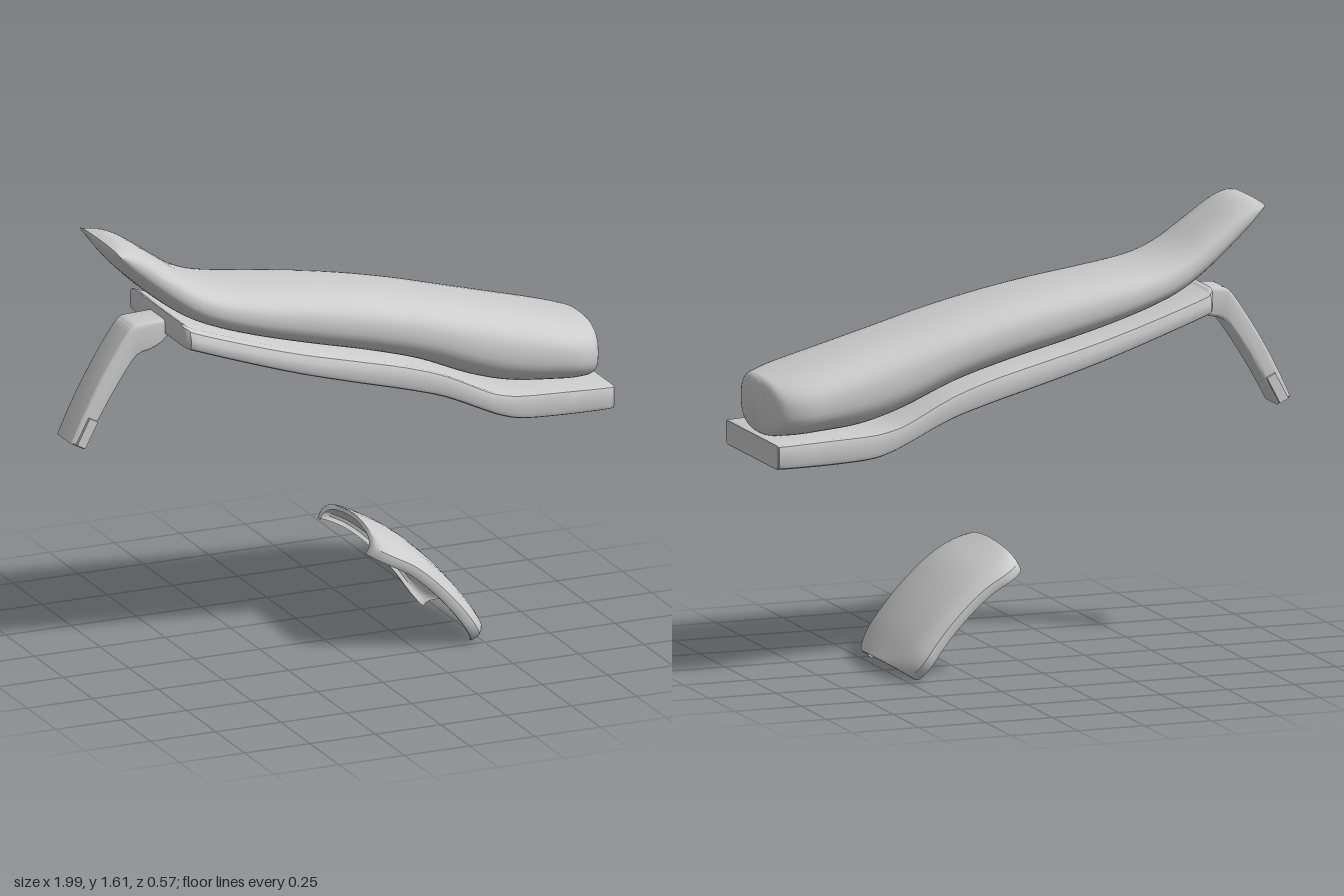
import * as THREE from 'three';
import { toCreasedNormals } from 'three/addons/utils/BufferGeometryUtils.js';

const grey = new THREE.MeshStandardMaterial({ color: 0xcccccc });
grey.name = 'light grey';

// Skin a row of equal rings; end caps join each point j to its partner n-1-j.
function loft(rings, crease) {
  const n = rings[0].length;
  const index = [];
  for (let i = 0; i < rings.length - 1; i++) {
    for (let j = 0; j < n; j++) {
      const k = (j + 1) % n;
      const a = i * n + j, b = i * n + k, c = b + n, d = a + n;
      index.push(a, d, c, a, c, b);
    }
  }
  const last = (rings.length - 1) * n;
  for (let j = 0; j < n / 2 - 1; j++) {
    const q = [j, j + 1, n - 2 - j, n - 1 - j];
    index.push(q[0], q[1], q[2], q[0], q[2], q[3]);
    index.push(last + q[0], last + q[2], last + q[1], last + q[0], last + q[3], last + q[2]);
  }
  const geo = new THREE.BufferGeometry().setFromPoints(rings.flat());
  geo.setIndex(index);
  return toCreasedNormals(geo, crease);
}

// Smoothly resample a station table whose first column is x.
function resample(rows, steps) {
  const curves = rows[0].slice(1).map((_, c) =>
    new THREE.SplineCurve(rows.map(r => new THREE.Vector2(r[0], r[c + 1]))));
  return Array.from({ length: steps + 1 }, (_, i) => {
    const p = curves.map(c => c.getPoint(i / steps));
    return [p[0].x, ...p.map(v => v.y)];
  });
}

function addMesh(group, name, geometry) {
  const mesh = new THREE.Mesh(geometry, grey);
  mesh.name = name;
  group.add(mesh);
  return mesh;
}

// Padded cushion: x, top, bottom, half width
function cushionGeometry() {
  const stations = resample([
    [-0.862, 1.605, 1.585, 0.168], [-0.82, 1.612, 1.52, 0.174], [-0.76, 1.59, 1.455, 0.178],
    [-0.66, 1.522, 1.367, 0.187], [-0.56, 1.455, 1.298, 0.197], [-0.45, 1.412, 1.25, 0.208],
    [-0.3, 1.386, 1.2, 0.22], [-0.1, 1.358, 1.145, 0.228], [0.1, 1.322, 1.095, 0.235],
    [0.3, 1.276, 1.035, 0.242], [0.5, 1.222, 0.95, 0.248], [0.65, 1.18, 0.908, 0.252],
    [0.8, 1.137, 0.893, 0.254], [0.88, 1.114, 0.887, 0.247], [0.94, 1.097, 0.885, 0.218],
    [0.97, 1.088, 0.888, 0.175], [0.984, 1.07, 0.905, 0.11],
  ], 64);
  const pow = v => Math.sign(v) * Math.abs(v) ** 0.78;
  return loft(stations.map(([x, top, bottom, half]) =>
    Array.from({ length: 48 }, (_, j) => {
      const a = j / 48 * Math.PI * 2;
      return new THREE.Vector3(x,
        (top + bottom) / 2 + pow(Math.sin(a)) * (top - bottom) / 2, pow(Math.cos(a)) * half);
    })), 0.9);
}

// Base plate: x, top, bottom, half width, edge bevel
function baseGeometry() {
  const stations = resample([
    [-0.642, 1.33, 1.25, 0.235, 0.03], [-0.63, 1.325, 1.243, 0.255, 0.035], [-0.6, 1.31, 1.232, 0.266, 0.038],
    [-0.4, 1.24, 1.16, 0.267, 0.035], [-0.2, 1.178, 1.093, 0.267, 0.035], [0, 1.125, 1.035, 0.267, 0.03],
    [0.2, 1.07, 0.98, 0.267, 0.02], [0.35, 1.015, 0.932, 0.267, 0.012], [0.5, 0.94, 0.862, 0.267, 0.012],
    [0.57, 0.915, 0.832, 0.267, 0.012], [0.65, 0.902, 0.812, 0.267, 0.012], [0.8, 0.895, 0.803, 0.267, 0.012],
    [0.975, 0.887, 0.8, 0.266, 0.012], [0.993, 0.886, 0.801, 0.25, 0.012],
  ], 52);
  return loft(stations.map(([x, t, b, h, e]) => {
    const side = [[h - 0.02, b], [h - 0.006, b + 0.006], [h, b + 0.02], [h, t - e], [h - e * 0.3, t - e * 0.3], [h - e, t]];
    const ring = [...side, ...side.map(([z, y]) => [-z, y]).reverse()];
    return ring.map(([z, y]) => new THREE.Vector3(x, y, z));
  }), 0.6);
}

// Curved guard: a thin arched shell with turned-down sides, swept along an arc
function guardGeometry() {
  const path = new THREE.CatmullRomCurve3([[0.112, 0.455], [0.25, 0.38], [0.36, 0.285], [0.46, 0.17], [0.537, 0.055]]
    .map(([x, y]) => new THREE.Vector3(x, y, 0)));
  const outer = [[0.277, -0.09], [0.285, -0.075], [0.284, -0.055], [0.262, -0.037], [0.235, -0.024], [0.19, -0.014], [0.1, -0.004], [0.03, 0]];
  const inner = [[0.267, -0.09], [0.272, -0.075], [0.268, -0.063], [0.25, -0.05], [0.225, -0.038], [0.185, -0.028], [0.1, -0.018], [0.03, -0.014]];
  const mirror = pts => pts.map(([z, d]) => [-z, d]).reverse();
  const section = [...outer, ...mirror(outer), ...[...inner, ...mirror(inner)].reverse()];
  const rings = [];
  for (let i = 0; i <= 40; i++) {
    const u = (1 - Math.cos(i / 40 * Math.PI)) / 2;
    const p = path.getPointAt(u), t = path.getTangentAt(u);
    const corner = Math.max(0, 1 - Math.min(u, 1 - u) / 0.17);
    const width = 1 - 0.27 * (1 - Math.sqrt(1 - corner * corner));
    rings.push(section.map(([z, d]) => new THREE.Vector3(p.x - t.y * d, p.y + t.x * d, z * width)));
  }
  return loft(rings, 0.6);
}

// Bent arm: side outline extruded across the width
function armGeometry() {
  const s = new THREE.Shape();
  s.moveTo(-0.625, 1.3);
  s.lineTo(-0.745, 1.295);
  s.quadraticCurveTo(-0.765, 1.293, -0.785, 1.265);
  s.quadraticCurveTo(-0.91, 1.09, -0.998, 0.887);
  s.lineTo(-0.948, 0.86);
  s.quadraticCurveTo(-0.86, 1.03, -0.765, 1.16);
  s.quadraticCurveTo(-0.745, 1.186, -0.72, 1.19);
  s.quadraticCurveTo(-0.65, 1.2, -0.62, 1.25);
  const bevel = 0.012;
  const geo = new THREE.ExtrudeGeometry(s, {
    depth: 0.136 - 2 * bevel, bevelSize: bevel, bevelThickness: bevel,
    bevelOffset: -bevel, bevelSegments: 3, curveSegments: 10,
  });
  geo.translate(0, 0, -0.068 + bevel);
  return toCreasedNormals(geo, 0.6);
}

export function createModel() {
  const model = new THREE.Group();
  model.name = 'seatAssembly';
  addMesh(model, 'cushion', cushionGeometry());
  addMesh(model, 'basePlate', baseGeometry());
  addMesh(model, 'curvedGuard', guardGeometry());
  addMesh(model, 'bentArm', armGeometry());

  // Side tabs near the arm's lower end
  for (const side of [1, -1]) {
    const tab = addMesh(model, 'armTab', new THREE.BoxGeometry(0.035, 0.105, 0.022));
    tab.position.set(-0.943, 0.923, side * 0.069);
    tab.rotation.z = -0.48;
  }
  return model;
}
